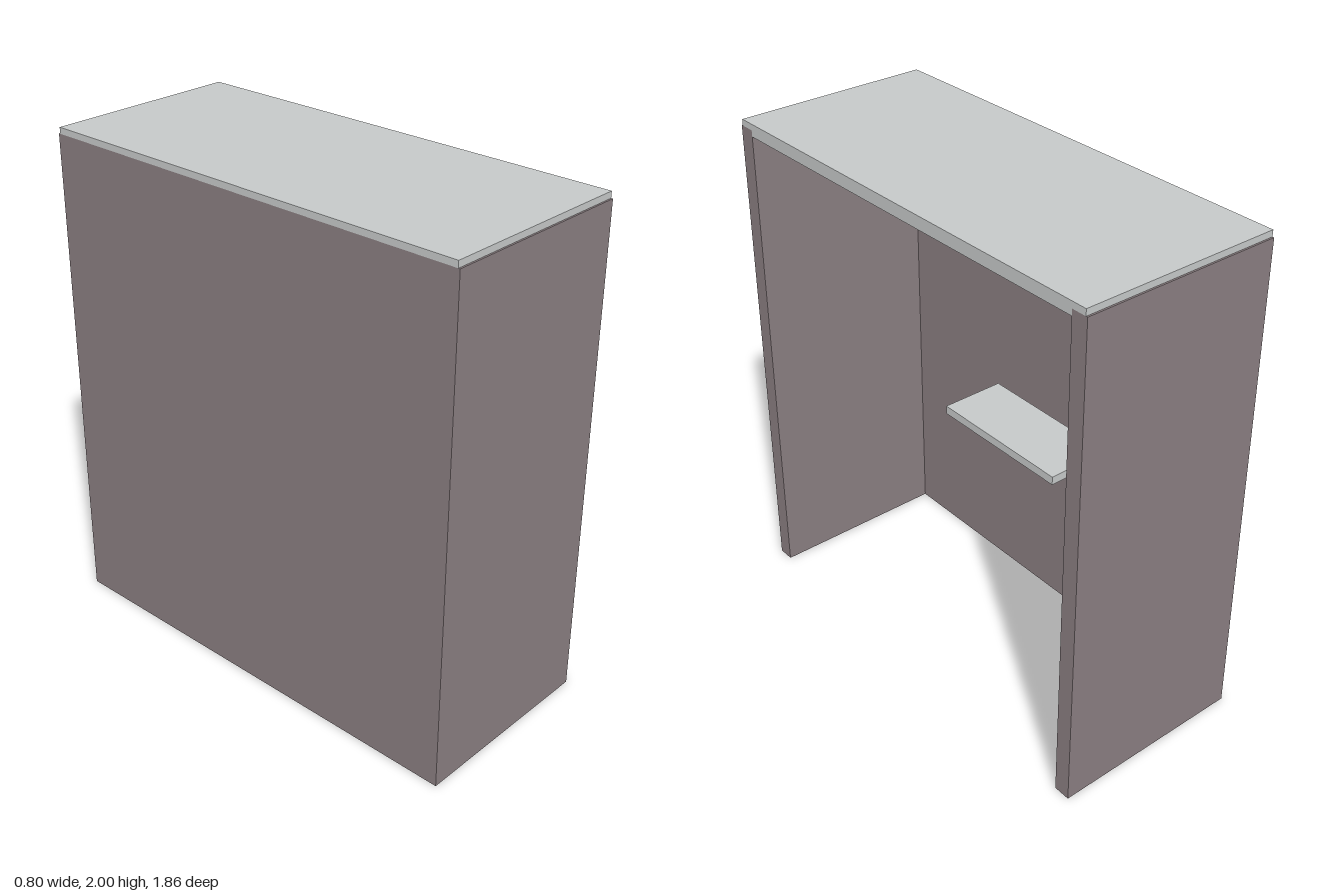
import * as THREE from 'three';

export function createModel() {
  const group = new THREE.Group();
  const panelPaint = new THREE.MeshStandardMaterial({ color: 0x8a7e81 });
  panelPaint.name = 'mauve panel';
  const topPaint = new THREE.MeshStandardMaterial({ color: 0xc6c9c9 });
  topPaint.name = 'pale grey board';

  // box given by its lower and upper corners
  function board(name, material, [x0, y0, z0], [x1, y1, z1]) {
    const mesh = new THREE.Mesh(new THREE.BoxGeometry(x1 - x0, y1 - y0, z1 - z0), material);
    mesh.position.set((x0 + x1) / 2, (y0 + y1) / 2, (z0 + z1) / 2);
    mesh.name = name;
    group.add(mesh);
  }

  const W = 0.4, D = 0.93, inner = 0.863, wall = -0.34, H = 1.975;

  // three upright panels, open towards +x
  board('backPanel', panelPaint, [-W, 0, -inner], [wall, H, inner]);
  board('frontSidePanel', panelPaint, [-W, 0, inner], [W, H, D]);
  board('rearSidePanel', panelPaint, [-W, 0, -D], [W, H, -inner]);

  // top slab, let in between the panels
  board('topSlab', topPaint, [-W, H, -0.923], [W, 2, 0.923]);
  board('topSlabUnderside', topPaint, [wall, 1.95, -inner], [W, H, inner]);

  // small shelf in front of the back panel
  board('shelf', topPaint, [-0.315, 0.837, -0.315], [-0.047, 0.872, 0.315]);

  return group;
}
